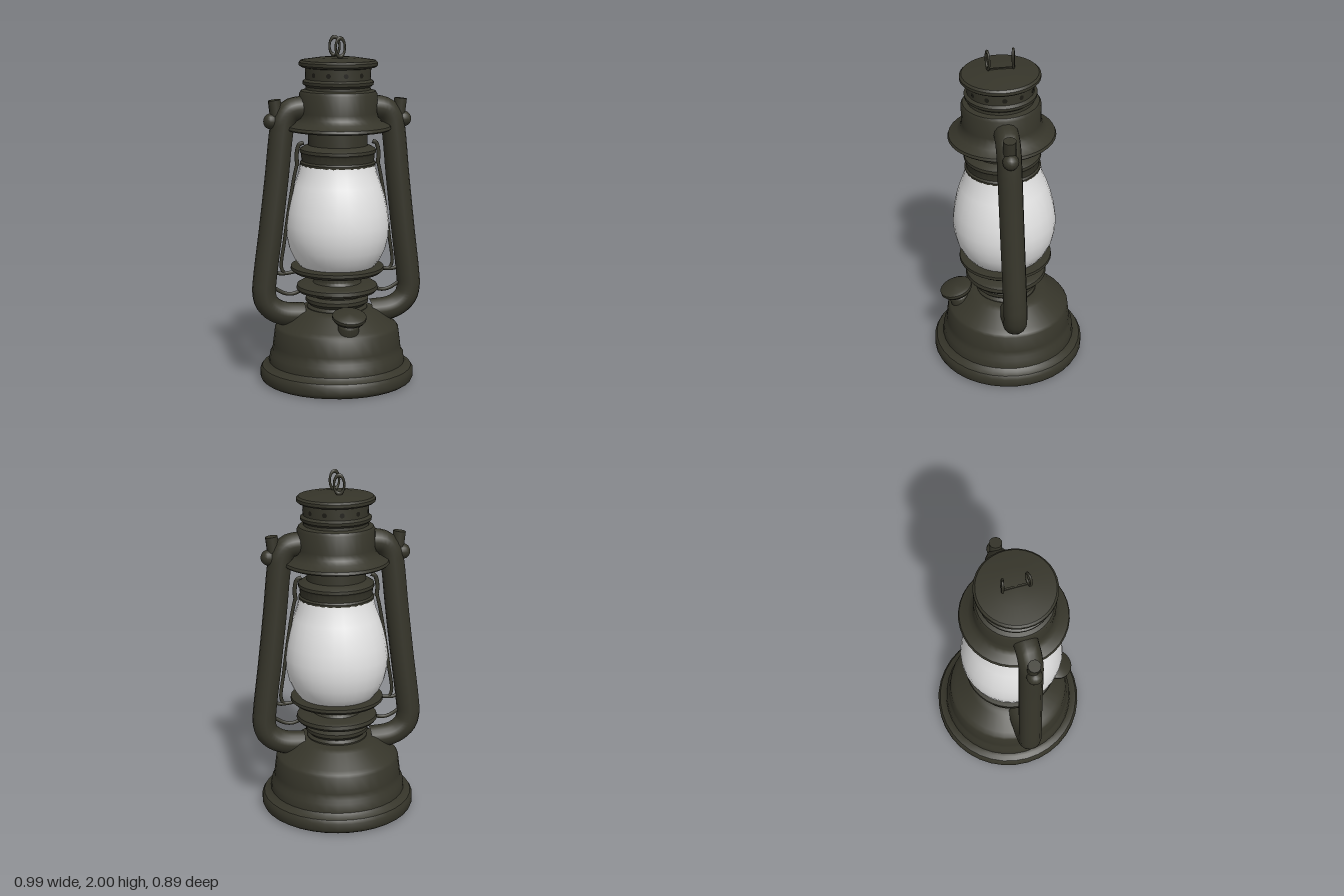
import * as THREE from 'three';
import { toCreasedNormals } from 'three/addons/utils/BufferGeometryUtils.js';

const metal = new THREE.MeshStandardMaterial({ color: 0x36352a });
metal.name = 'dark olive metal';
const glass = new THREE.MeshStandardMaterial({ color: 0xe4e4e4, side: THREE.DoubleSide });
glass.name = 'frosted white glass';
const hole = new THREE.MeshStandardMaterial({ color: 0x1c1b15 });
hole.name = 'dark vent';

function add(parent, name, geometry, material, x = 0, y = 0, z = 0) {
  const mesh = new THREE.Mesh(geometry, material);
  mesh.name = name;
  mesh.position.set(x, y, z);
  parent.add(mesh);
  return mesh;
}

// Turned part from [radius, height] pairs, bottom to top
function turned(profile, segments = 36) {
  const points = profile.map(([r, y]) => new THREE.Vector2(r, y));
  return toCreasedNormals(new THREE.LatheGeometry(points, segments), 0.6);
}

function tube(points, radius, sides = 8, segments = 40, closed = false) {
  const curve = new THREE.CatmullRomCurve3(points.map((p) => new THREE.Vector3(...p)), closed, 'centripetal');
  return new THREE.TubeGeometry(curve, segments, radius, sides, closed);
}

export function createModel() {
  const model = new THREE.Group();
  model.name = 'lantern';

  // Fuel tank
  add(model, 'tank', turned([
    [0, 0.015], [0.425, 0.005], [0.44, 0.015], [0.447, 0.03], [0.447, 0.07], [0.435, 0.09],
    [0.41, 0.1], [0.395, 0.115], [0.39, 0.165], [0.376, 0.185], [0.372, 0.22], [0.36, 0.315],
    [0.35, 0.33], [0.325, 0.345], [0.24, 0.415], [0.215, 0.428], [0.175, 0.435], [0, 0.435],
  ]), metal);
  add(model, 'bottomPlate', new THREE.CircleGeometry(0.07, 20), glass, 0, 0.004, 0.02).rotation.x = Math.PI / 2;

  // Filler neck and cap, tipped towards the front
  const filler = new THREE.Group();
  filler.name = 'filler';
  filler.position.set(0, 0.44, 0.31);
  filler.rotation.x = 0.28;
  add(filler, 'fillerCap', turned([
    [0, -0.11], [0.06, -0.11], [0.06, -0.05], [0.05, -0.035], [0.085, -0.02], [0.096, -0.005],
    [0.096, 0.012], [0.08, 0.022], [0, 0.026],
  ], 24), metal);
  model.add(filler);

  // Everything above the tank leans slightly forward
  const upper = new THREE.Group();
  upper.name = 'upperWorks';
  upper.rotation.x = 0.023;
  model.add(upper);

  add(upper, 'burner', turned([
    [0.175, 0.41], [0.175, 0.44], [0.16, 0.455], [0.182, 0.475], [0.182, 0.495], [0.155, 0.51],
    [0.16, 0.53], [0.225, 0.535], [0.237, 0.55], [0.232, 0.57], [0.215, 0.58], [0.14, 0.585],
    [0.13, 0.6], [0.13, 0.625], [0.2, 0.635], [0.25, 0.648], [0.27, 0.665], [0.268, 0.682],
    [0.235, 0.688], [0, 0.68],
  ]), metal);

  add(upper, 'globe', turned([
    [0.2, 0.675], [0.22, 0.69], [0.25, 0.73], [0.278, 0.79], [0.294, 0.86], [0.298, 0.93],
    [0.288, 1.01], [0.27, 1.09], [0.248, 1.16], [0.225, 1.22], [0.213, 1.28],
  ], 28), glass);

  add(upper, 'collar', turned([
    [0.19, 1.26], [0.212, 1.255], [0.216, 1.285], [0.207, 1.295], [0.21, 1.335], [0.218, 1.345],
    [0.216, 1.362], [0.195, 1.375], [0.17, 1.385], [0.168, 1.48],
  ]), metal);

  add(upper, 'hood', turned([
    [0.165, 1.465], [0.225, 1.485], [0.295, 1.472], [0.303, 1.48], [0.297, 1.495], [0.25, 1.518],
    [0.23, 1.54], [0.222, 1.57], [0.222, 1.675], [0.212, 1.692], [0.185, 1.7], [0.183, 1.715],
    [0.2, 1.728], [0.202, 1.745], [0.186, 1.757], [0.186, 1.82], [0.21, 1.825],
    [0.223, 1.835], [0.223, 1.852], [0.212, 1.863], [0.11, 1.878], [0, 1.882],
  ]), metal);

  // Ring of vent holes below the cap
  for (let i = 0; i < 12; i++) {
    const a = (i / 12) * Math.PI * 2;
    const vent = add(upper, 'ventHole', new THREE.CircleGeometry(0.014, 12), hole,
      Math.sin(a) * 0.188, 1.785, Math.cos(a) * 0.188);
    vent.rotation.y = a;
  }

  // Two lifting loops joined by a wire across the cap
  for (const z of [-0.075, 0.065]) {
    const loop = add(upper, 'liftingLoop', new THREE.TorusGeometry(0.03, 0.007, 8, 24), metal, -0.005, 1.937, z);
    loop.scale.set(0.95, 1.7, 1);
    loop.rotation.y = z > 0 ? 0.2 : -0.2;
  }
  add(upper, 'loopWire', new THREE.BoxGeometry(0.01, 0.012, 0.14), metal, -0.005, 1.882, -0.005);

  // Side air tubes, wire guards and pivots, mirrored
  for (const s of [-1, 1]) {
    const side = new THREE.Group();
    side.name = s > 0 ? 'leftSide' : 'rightSide';
    upper.add(side);
    const m = (points) => points.map(([x, y, z = 0]) => [s * x, y, z]);

    add(side, 'airTube', tube(m([
      [0.2, 0.4], [0.31, 0.41], [0.37, 0.435], [0.415, 0.48], [0.43, 0.54], [0.425, 0.62],
      [0.39, 0.9], [0.355, 1.2], [0.328, 1.46], [0.315, 1.53], [0.28, 1.58], [0.23, 1.595], [0.14, 1.595],
    ]), 0.068, 14, 70), metal);
    add(side, 'pivotKnob', new THREE.SphereGeometry(0.045, 14, 10), metal, s * 0.385, 1.525, 0);
    const ear = add(side, 'handleEar', new THREE.CylinderGeometry(0.036, 0.036, 0.12, 10), metal, s * 0.36, 1.585, 0);
    ear.rotation.z = s * -0.12;

    add(side, 'guardWire', tube(m([
      [0.235, 1.29], [0.255, 1.2], [0.285, 1.02], [0.31, 0.84], [0.328, 0.68], [0.31, 0.65], [0.24, 0.655],
    ]), 0.01), metal);
    add(side, 'guardStrap', tube(m([
      [0.2, 1.4], [0.225, 1.39], [0.24, 1.33], [0.235, 1.27],
    ]), 0.012, 8, 16), metal);
    add(side, 'upperBrace', tube(m([
      [0.2, 0.665], [0.28, 0.65], [0.34, 0.648], [0.38, 0.67],
    ]), 0.011, 8, 16), metal);
    add(side, 'lowerBrace', tube(m([
      [0.2, 0.55], [0.26, 0.525], [0.31, 0.53], [0.38, 0.57],
    ]), 0.011, 8, 16), metal);
  }
  return model;
}
